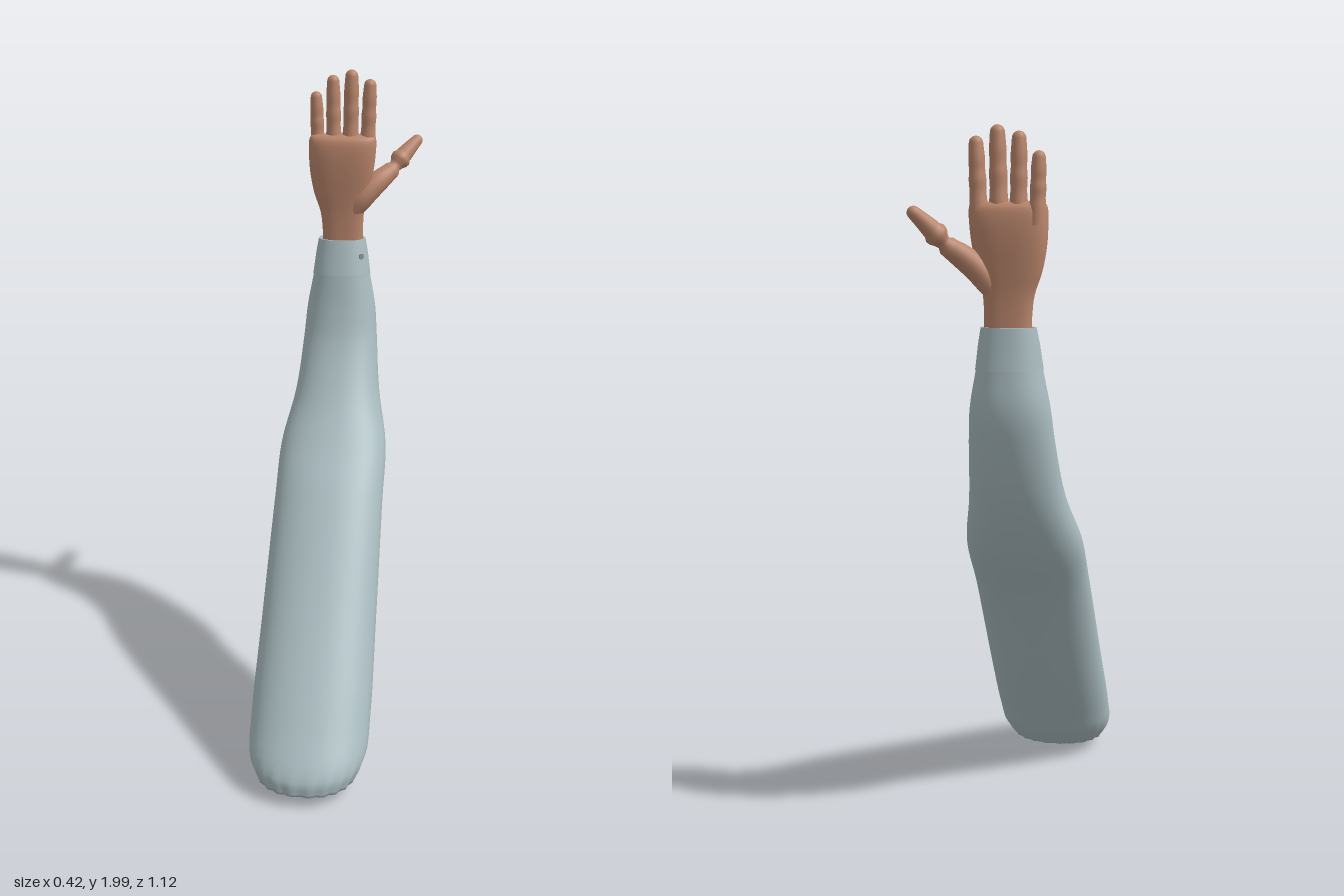
import * as THREE from 'three';

const V = (x, y, z) => new THREE.Vector3(x, y, z);

// Skins a list of sections {c, u, v, n, ripple}: superellipse rings with half axes u and v about c
function loft(sections, seg, caps = true) {
  const pos = [], idx = [];
  const ring = ({ c, u, v, n = 2, ripple = 0 }) => {
    const start = pos.length / 3;
    for (let j = 0; j < seg; j++) {
      const a = (j / seg) * Math.PI * 2;
      const co = Math.cos(a), si = Math.sin(a), k = 1 + ripple * Math.cos(a * 22);
      const p = c.clone()
        .addScaledVector(u, k * Math.sign(co) * Math.abs(co) ** (2 / n))
        .addScaledVector(v, k * Math.sign(si) * Math.abs(si) ** (2 / n));
      pos.push(p.x, p.y, p.z);
    }
    return start;
  };
  const starts = sections.map(ring);
  for (let i = 0; i + 1 < starts.length; i++) {
    for (let j = 0; j < seg; j++) {
      const k = (j + 1) % seg;
      const a = starts[i] + j, b = starts[i] + k, c = starts[i + 1] + j, d = starts[i + 1] + k;
      idx.push(a, c, b, b, c, d);
    }
  }
  if (caps) {
    [sections[0], sections[sections.length - 1]].forEach((s, end) => {
      const r = ring(s), m = pos.length / 3;
      pos.push(s.c.x, s.c.y, s.c.z);
      for (let j = 0; j < seg; j++) {
        const a = r + j, b = r + (j + 1) % seg;
        idx.push(m, end ? b : a, end ? a : b);
      }
    });
  }
  const g = new THREE.BufferGeometry();
  g.setAttribute('position', new THREE.Float32BufferAttribute(pos, 3));
  g.setIndex(idx);
  g.computeVertexNormals();
  return g;
}

// Horizontal section given by its centre and half sizes
const flat = (x, y, z, hx, hz, n) => ({ c: V(x, y, z), u: V(hx, 0, 0), v: V(0, 0, hz), n });

// Round digit along a path of [x, y, z, radius], with a domed tip
function digit(points, steps) {
  const path = new THREE.CatmullRomCurve3(points.map(p => V(p[0], p[1], p[2])));
  const radii = new THREE.CatmullRomCurve3(points.map(p => V(p[3], 0, 0)));
  const sections = [];
  const add = (c, t, r) => {
    const v = V(0, 0, 1).addScaledVector(t, -t.z).normalize();
    sections.push({ c, u: t.clone().cross(v).multiplyScalar(r), v: v.multiplyScalar(r) });
  };
  for (let i = 0; i <= steps; i++) {
    add(path.getPoint(i / steps), path.getTangent(i / steps), radii.getPoint(i / steps).x);
  }
  const end = path.getPoint(1), dir = path.getTangent(1), r = points[points.length - 1][3];
  for (let i = 1; i <= 5; i++) {
    const a = (i / 5) * 1.5;
    add(end.clone().addScaledVector(dir, r * Math.sin(a)), dir, r * Math.cos(a));
  }
  return loft(sections, 20);
}

export function createModel() {
  const group = new THREE.Group();
  const mat = (name, color) => new THREE.MeshStandardMaterial({ name, color });
  const cloth = mat('sleeve cloth', 0xa9bbbf);
  const skin = mat('skin', 0xba866c);
  const buttonGrey = mat('button grey', 0x7d8b8f);
  const add = (name, geometry, material, parent = group) => {
    const m = new THREE.Mesh(geometry, material);
    m.name = name;
    parent.add(m);
    return m;
  };
  const cx = -0.033;

  // Sleeve: front z, front y, back z, back y, half width
  const rows = [
    [0.557, 0.045, 0.288, 0.045, 0.145],
    [0.553, 0.09, 0.225, 0.105, 0.172],
    [0.468, 0.20, 0.175, 0.17, 0.179],
    [0.246, 0.47, 0.055, 0.325, 0.176],
    [0.0, 0.77, -0.18, 0.655, 0.170],
    [-0.11, 0.885, -0.32, 0.825, 0.167],
    [-0.204, 1.0, -0.425, 1.0, 0.135],
    [-0.294, 1.156, -0.484, 1.17, 0.118],
    [-0.326, 1.26, -0.5, 1.26, 0.109],
    [-0.347, 1.363, -0.495, 1.363, 0.09],
  ];
  const front = new THREE.CatmullRomCurve3(rows.map(r => V(r[4], r[1], r[0])));
  const back = new THREE.CatmullRomCurve3(rows.map(r => V(r[4], r[3], r[2])));
  const sleeve = [flat(cx, 0.008, 0.445, 0.004, 0.004), flat(cx, 0.026, 0.435, 0.075, 0.07)];
  for (let i = 0; i <= 45; i++) {
    const f = front.getPoint(i / 45), b = back.getPoint(i / 45);
    const c = f.clone().add(b).multiplyScalar(0.5).setX(cx);
    sleeve.push({
      c, u: V(f.x, 0, 0), v: f.clone().sub(b).multiplyScalar(0.5).setX(0),
      n: 2.2, ripple: 0.022 * Math.max(0, 1 - i / 7), // gathered hem
    });
  }
  add('sleeve', loft(sleeve, 88), cloth);

  // Cuff: outer wall, then rim and inner lining as separate bands to keep the edges crisp
  const cuff = new THREE.Group();
  cuff.name = 'cuff';
  group.add(cuff);
  const outer = flat(cx, 1.475, -0.43, 0.075, 0.054, 2.2);
  const inner = flat(cx, 1.475, -0.43, 0.069, 0.047, 2.2);
  add('cuffWall', loft([
    flat(cx, 1.362, -0.421, 0.092, 0.076, 2.2),
    flat(cx, 1.37, -0.421, 0.091, 0.075, 2.2),
    flat(cx, 1.43, -0.426, 0.083, 0.063, 2.2), outer,
  ], 64, false), cloth, cuff);
  add('cuffRim', loft([outer, inner], 64, false), cloth, cuff);
  add('cuffLining', loft([inner, flat(cx, 1.462, -0.43, 0.067, 0.045, 2.2),
    flat(cx, 1.461, -0.43, 0.03, 0.02, 2.2)], 64, false), cloth, cuff);

  // Cuff button
  const button = add('cuffButton', new THREE.CylinderGeometry(0.009, 0.009, 0.007, 16), buttonGrey, cuff);
  button.position.set(0.033, 1.425, -0.384);
  button.quaternion.setFromUnitVectors(V(0, 1, 0), V(0.7, 0.1, 0.7).normalize());

  // Hand
  const hand = new THREE.Group();
  hand.name = 'hand';
  group.add(hand);

  // Wrist and palm: y, right edge, left edge, half depth
  const palmRows = [
    [1.43, -0.094, 0.034, 0.032], [1.50, -0.095, 0.034, 0.031],
    [1.56, -0.102, 0.037, 0.032], [1.62, -0.122, 0.05, 0.037],
    [1.69, -0.135, 0.066, 0.043], [1.75, -0.138, 0.073, 0.044],
    [1.785, -0.137, 0.074, 0.038], [1.797, -0.132, 0.070, 0.028],
    [1.803, -0.115, 0.055, 0.014],
  ];
  const palmCurve = new THREE.CatmullRomCurve3(palmRows.map(r => V(r[1], r[0], r[2])));
  const depthCurve = new THREE.CatmullRomCurve3(palmRows.map(r => V(r[3], r[0], 0)));
  const palm = [];
  for (let i = 0; i <= 32; i++) {
    const p = palmCurve.getPoint(i / 32), d = depthCurve.getPoint(i / 32).x;
    palm.push(flat((p.x + p.z) / 2, p.y, -0.425, (p.z - p.x) / 2, d, 2.5));
  }
  add('palm', loft(palm, 48), skin, hand);

  // Fingers: name, base x, tip x, tip y, z, radius
  [
    ['littleFinger', -0.111, -0.116, 1.932, -0.438, 0.021],
    ['ringFinger', -0.06, -0.062, 1.983, -0.43, 0.0225],
    ['middleFinger', -0.008, -0.004, 2.0, -0.428, 0.0235],
    ['indexFinger', 0.045, 0.053, 1.972, -0.43, 0.0225],
  ].forEach(([name, x0, x1, top, z, r]) => {
    const y0 = 1.74, y1 = top - r * 0.85;
    // slight swellings at the knuckles
    const profile = [[0, 1.2], [0.25, 1.1], [0.42, 0.98], [0.55, 1.04], [0.68, 0.95], [0.8, 0.98], [1, 0.85]];
    add(name, digit(profile.map(([t, k]) => [
      x0 + (x1 - x0) * t, y0 + (y1 - y0) * t, z, r * k,
    ]), 24), skin, hand);
  });

  // Thumb with its fleshy base
  add('thumb', digit([
    [-0.005, 1.55, -0.423, 0.025],
    [0.035, 1.61, -0.428, 0.036],
    [0.08, 1.655, -0.45, 0.034],
    [0.12, 1.688, -0.482, 0.027],
    [0.15, 1.725, -0.508, 0.027],
    [0.175, 1.753, -0.528, 0.022],
    [0.193, 1.772, -0.543, 0.018],
  ], 28), skin, hand);

  return group;
}
